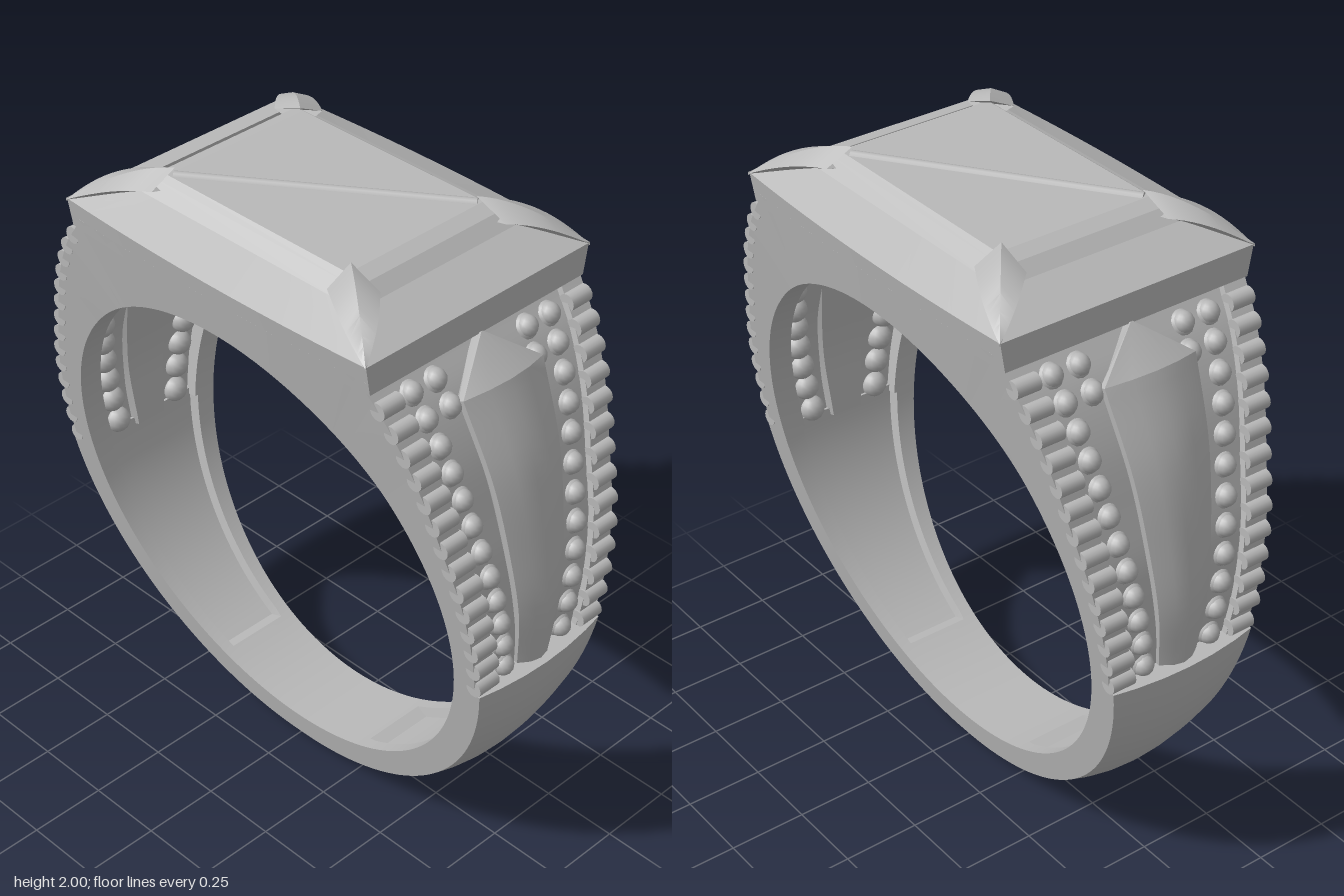
import * as THREE from 'three';
import { mergeGeometries, toCreasedNormals } from 'three/addons/utils/BufferGeometryUtils.js';

const V = (x, y, z) => new THREE.Vector3(x, y, z);
const CY = 0.9, HOLE = 0.79; // finger hole centre height and radius

// Half depth of the ring: tapers to the foot, bulges slightly at the head
const halfDepth = (x, y) => 0.12 + 0.17 * y
  + 0.021 * THREE.MathUtils.smoothstep(y, 1.25, 1.65) * Math.max(0, 1 - (x / 0.6) ** 2);

// Skin a row of equal-sized closed sections; winding is corrected by signed volume
function loft(sections, closed = false, crease = 0.5) {
  const n = sections[0].length, m = sections.length, tris = [];
  const quad = (a, b, c, d) => tris.push([a, b, c], [a, c, d]);
  for (let i = 0; i < (closed ? m : m - 1); i++) {
    const s = sections[i], t = sections[(i + 1) % m];
    for (let j = 0; j < n; j++) quad(s[j], s[(j + 1) % n], t[(j + 1) % n], t[j]);
  }
  if (!closed) {
    const a = sections[0], b = sections[m - 1];
    for (let j = 0; j < n / 2 - 1; j++) {
      quad(a[j], a[n - 1 - j], a[n - 2 - j], a[j + 1]);
      quad(b[j], b[j + 1], b[n - 2 - j], b[n - 1 - j]);
    }
  }
  const volume = tris.reduce((v, [a, b, c]) => v + a.dot(b.clone().cross(c)), 0);
  const points = tris.flatMap(([a, b, c]) => (volume < 0 ? [a, c, b] : [a, b, c]));
  return toCreasedNormals(new THREE.BufferGeometry().setFromPoints(points), crease);
}

const curve = (pts) => new THREE.CatmullRomCurve3(pts.map(([x, y]) => V(x, y, 0)));
// Point on a shoulder curve moved outwards by d
function offset(path, t, d) {
  const p = path.getPointAt(t), g = path.getTangentAt(t);
  return V(p.x + g.y * d, p.y - g.x * d, 0);
}
const ribPath = curve([[0.875, 0.78], [0.885, 0.95], [0.865, 1.15], [0.815, 1.33], [0.75, 1.53], [0.67, 1.69], [0.595, 1.79]]);
const spinePath = curve([[0.885, 0.78], [0.9, 1], [0.876, 1.2], [0.82, 1.45], [0.72, 1.69]]);
const spineWidth = (y) => (y < 1.69 ? 0.07 + 0.09 * (y - 0.8) / 0.89 : Math.max(0, 1.6 * (1.79 - y)));

export function createModel() {
  const group = new THREE.Group();
  const metal = new THREE.MeshStandardMaterial({ color: 0xb8b8b8 });
  metal.name = 'polished grey metal';
  const add = (name, geometry) => {
    const mesh = new THREE.Mesh(geometry, metal);
    mesh.name = name;
    group.add(mesh);
  };

  // Lower band: crowned outside, shallow channel inside
  const us = [-1, -0.73, -0.7, -0.35, 0, 0.35, 0.7, 0.73, 1];
  const band = [];
  for (let i = 0; i <= 72; i++) {
    const a = THREE.MathUtils.degToRad(-6.4 - 167.2 * i / 72);
    const c = Math.cos(a), s = Math.sin(a);
    const at = (r, u) => V(r * c, CY + r * s, u * halfDepth(r * c, CY + r * s));
    const depth = Math.abs(c) > 0.4 ? 0.03 : 0;
    const outer = us.map((u) => at(0.9 + 0.015 * Math.abs(c) - 0.027 * u * u, u));
    const inner = us.map((u) => at(HOLE + (Math.abs(u) < 0.71 ? depth : 0), u)).reverse();
    band.push([...outer, ...inner]);
  }
  add('lowerBand', loft(band));

  // Front and back walls: shoulders joined by an arch under the head
  const right = Array.from({ length: 41 }, (_, i) => offset(ribPath, i / 40, -0.012));
  const arch = Array.from({ length: 25 }, (_, i) => V(0.6 - 0.05 * i, 1.82, 0));
  const outline = [...right, ...arch, ...right.map((p) => V(-p.x, p.y, 0)).reverse()];
  for (const side of [1, -1]) {
    const wall = outline.map((o) => {
      const dir = V(o.x, o.y - CY, 0).normalize();
      const i = V(dir.x * HOLE, CY + dir.y * HOLE, 0);
      const zo = halfDepth(o.x, o.y), zi = halfDepth(i.x, i.y);
      return [V(o.x, o.y, side * zo), V(o.x, o.y, side * (zo - 0.08)),
        V(i.x, i.y, side * (zi - 0.08)), V(i.x, i.y, side * zi)];
    });
    add(side > 0 ? 'frontWall' : 'backWall', loft(wall));
  }

  // Shoulders: ribbed edges, beaded plate and raised pointed spine
  for (const sx of [1, -1]) {
    const side = sx > 0 ? 'left' : 'right';
    const plate = [], ribs = [], beads = [];
    for (let i = 0; i <= 40; i++) {
      const o = offset(ribPath, i / 40, -0.032), n = offset(ribPath, i / 40, -0.052);
      const h = halfDepth(o.x, o.y) - 0.06;
      plate.push([V(sx * o.x, o.y, -h), V(sx * o.x, o.y, h), V(sx * n.x, n.y, h), V(sx * n.x, n.y, -h)]);
    }
    add(side + 'BeadPlate', loft(plate));

    for (let i = 0; i < 14; i++) {
      const p = offset(ribPath, (i + 0.6) / 14.4, -0.016);
      for (const sz of [1, -1]) {
        ribs.push(new THREE.CylinderGeometry(0.027, 0.027, 0.08, 16).rotateX(Math.PI / 2)
          .translate(sx * p.x, p.y, sz * (halfDepth(p.x, p.y) - 0.04)));
      }
    }
    add(side + 'EdgeRibs', mergeGeometries(ribs));

    for (let i = 0; i < 12; i++) {
      const t = (i + 0.5) / 12.2;
      const o = offset(ribPath, t, -0.03), n = offset(ribPath, t, -0.052);
      for (let z = halfDepth(o.x, o.y) - 0.138; z > spineWidth(o.y) + 0.01; z -= 0.092) {
        for (const sz of [1, -1]) {
          beads.push(new THREE.SphereGeometry(0.033, 14, 10).translate(sx * o.x, o.y, sz * z));
          beads.push(new THREE.SphereGeometry(0.043, 14, 10).translate(sx * n.x, n.y, sz * z));
        }
      }
    }
    add(side + 'Beads', mergeGeometries(beads));

    const spine = [];
    for (let i = 0; i <= 24; i++) {
      const p = spinePath.getPointAt(i / 24), w = spineWidth(Math.min(p.y, 1.689));
      const at = (d, u) => {
        const q = offset(spinePath, i / 24, d);
        return V(sx * q.x, q.y, u * w);
      };
      spine.push([at(-0.05, -1), at(-0.03, -1), at(-0.008, -0.5), at(0, 0), at(-0.008, 0.5), at(-0.03, 1),
        at(-0.05, 1), at(-0.085, 0.8), at(-0.085, 0.4), at(-0.085, 0), at(-0.085, -0.4), at(-0.085, -0.8)]);
    }
    // Faceted tip running up to the head
    spine.push(spine[24].map((p, j) => V(sx * (j < 7 ? 0.607 : 0.57), j < 7 ? 1.79 : 1.76, p.z * 0.02)));
    add(side + 'Spine', loft(spine, false, 0.4));
  }

  // Bezel: sloping rectangular frame with gently bowed long sides
  const rim = [];
  const rimSection = (x, z, ix, iz) => {
    const hw = (y) => Math.sign(z) * (Math.abs(z) > 0.43 ? halfDepth(x, y) : Math.abs(z));
    rim.push([V(x, 1.875, hw(1.875)), V(ix, 1.937, iz), V(ix, 1.78, iz), V(x, 1.78, hw(1.78))]);
  };
  for (let i = 0; i <= 12; i++) rimSection(0.6 - 0.1 * i, 0.44, 0.46 * (1 - i / 6), 0.33);
  for (let i = 0; i <= 12; i++) rimSection(-0.6 + 0.1 * i, -0.44, 0.46 * (i / 6 - 1), -0.33);
  add('bezelFrame', loft(rim, true, 0.3));

  // Step-cut stone with a slim diagonal bar
  const layer = (x, z, y) => [V(x, y, z), V(-x, y, z), V(-x, y, -z), V(x, y, -z)];
  add('stone', loft([layer(0.41, 0.28, 1.86), layer(0.465, 0.335, 1.9), layer(0.46, 0.325, 1.925),
    layer(0.41, 0.285, 1.965), layer(0.36, 0.265, 1.98)], false, 0.1));
  const turn = Math.atan2(0.25, 0.35);
  add('diagonalBar', new THREE.CylinderGeometry(0.018, 0.018, 0.86, 12)
    .rotateZ(Math.PI / 2).rotateY(turn).translate(0, 1.972, 0));
  add('lowerStrut', new THREE.BoxGeometry(0.95, 0.05, 0.04).rotateY(turn).translate(0, 1.845, 0));

  // Corner claws
  for (const sx of [1, -1]) for (const sz of [1, -1]) {
    const claw = [];
    for (let i = 0; i <= 12; i++) {
      const t = i / 12, rise = Math.sin(t * Math.PI / 2), bow = 0.03 * Math.sin(t * Math.PI);
      const at = (x, z, y) => V(sx * (0.602 + (x - 0.602) * t), y, sz * (0.442 + (z - 0.442) * t));
      const a = at(0.35, 0.335, 1.872 + 0.085 * rise);
      const r = at(0.35, 0.245, 1.877 + 0.123 * rise);
      const c = at(0.46, 0.245, 1.872 + 0.085 * rise);
      a.z += sz * bow * 0.5;
      c.x += sx * bow * 0.5;
      claw.push([a, r, c, at(0.35, 0.245, 1.868 + 0.065 * t)]);
    }
    add((sz > 0 ? 'front' : 'back') + (sx > 0 ? 'Left' : 'Right') + 'Claw', loft(claw, false, 0.4));
  }
  return group;
}
